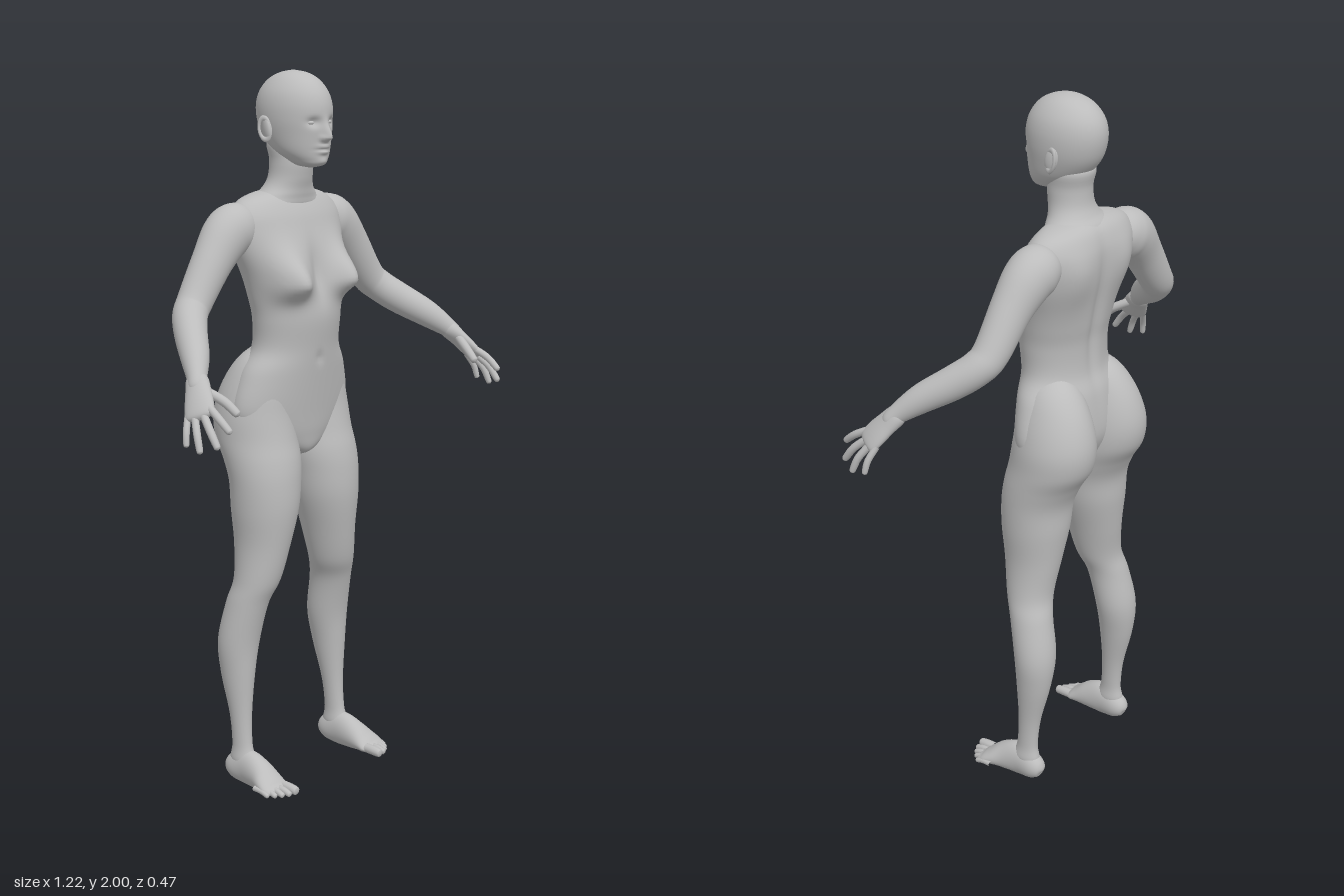
import * as THREE from 'three';

const skin = new THREE.MeshStandardMaterial({ color: 0xbcbcbc });
skin.name = 'plain grey';

// Catmull-Rom interpolation of every column of a table of cross-sections
function sampleRows(rows, s) {
  const n = rows.length - 1;
  const i = Math.min(Math.max(Math.floor(s), 0), n - 1);
  const t = s - i;
  const at = k => rows[Math.min(Math.max(k, 0), n)];
  return rows[0].map((_, c) => {
    const p0 = at(i - 1)[c], p1 = at(i)[c], p2 = at(i + 1)[c], p3 = at(i + 2)[c];
    return 0.5 * (2 * p1 + (p2 - p0) * t + (2 * p0 - 5 * p1 + 4 * p2 - p3) * t * t
      + (3 * p1 - p0 - 3 * p2 + p3) * t * t * t);
  });
}

// Smooth closed skin over cross-sections; ring(s) returns a function angle -> point
function loft(count, ring, segs, steps, deform) {
  const pos = [], index = [], total = (count - 1) * steps;
  for (let i = 0; i <= total; i++) {
    const point = ring(i / steps);
    for (let j = 0; j < segs; j++) {
      const v = point(j / segs * Math.PI * 2);
      if (deform) deform(v);
      pos.push(v.x, v.y, v.z);
      if (i === total) continue;
      const a = i * segs + j, b = i * segs + (j + 1) % segs;
      index.push(a, b, a + segs, b, b + segs, a + segs);
    }
  }
  const g = new THREE.BufferGeometry();
  g.setAttribute('position', new THREE.Float32BufferAttribute(pos, 3));
  g.setIndex(index);
  g.computeVertexNormals();
  return g;
}

// Level sections from top to bottom: [y, centre x, half width, front z, back z]
function levels(rows, segs, steps, deform) {
  return loft(rows.length, s => {
    const [y, cx, a, f, b] = sampleRows(rows, s);
    const w = Math.max(a, 0);
    return t => new THREE.Vector3(cx + w * Math.cos(t), y, (f + b) / 2 + (f - b) / 2 * Math.sin(t));
  }, segs, steps, deform);
}

// Sections across a path: [x, y, z, radius along ref, radius across it]
function limb(rows, ref, segs, steps, deform) {
  return loft(rows.length, s => {
    const r = sampleRows(rows, s);
    const p = new THREE.Vector3(...r);
    const e0 = sampleRows(rows, Math.max(s - 0.05, 0));
    const e1 = sampleRows(rows, Math.min(s + 0.05, rows.length - 1));
    const T = new THREE.Vector3(...e1).sub(new THREE.Vector3(...e0)).normalize();
    const U = ref.clone().addScaledVector(T, -ref.dot(T)).normalize();
    const V = T.clone().cross(U);
    const [ru, rv] = [Math.max(r[3], 0), Math.max(r[4], 0)];
    return t => p.clone().addScaledVector(U, ru * Math.cos(t)).addScaledVector(V, rv * Math.sin(t));
  }, segs, steps, deform);
}

// Rounded finger or toe through three points
function digit(a, b, c, r, deform) {
  const lerp = (p, q, t) => p.map((v, i) => v + (q[i] - v) * t);
  const rows = [[...a, r, r], [...b, r, r], [...lerp(b, c, 0.8), r * 0.88, r * 0.88],
    [...lerp(b, c, 0.95), r * 0.55, r * 0.55], [...c, 0, 0]];
  return limb(rows, new THREE.Vector3(1, 0.3, 0), 12, 4, deform);
}

// Soft swelling or hollow on both sides of the middle
function bump(v, x, y, sx, up, down, dz) {
  const dx = (Math.abs(v.x) - x) / sx, dy = (v.y - y) / (v.y > y ? up : down);
  v.z += dz * Math.exp(-dx * dx - dy * dy);
}

function mirrored(g) {
  const m = g.clone().scale(-1, 1, 1), ix = m.index.array;
  for (let i = 0; i < ix.length; i += 3) [ix[i], ix[i + 1]] = [ix[i + 1], ix[i]];
  m.computeVertexNormals();
  return m;
}

export function createModel() {
  const group = new THREE.Group();
  const add = (name, g) => {
    const m = new THREE.Mesh(g, skin);
    m.name = name;
    group.add(m);
  };
  const pair = (name, g) => {
    add('left' + name, g);
    add('right' + name, mirrored(g));
  };

  // Head with brow, nose, lips and chin
  add('head', levels([
    [2.0, 0, 0, -0.066, -0.068], [1.993, 0, 0.032, -0.025, -0.105], [1.975, 0, 0.058, 0.012, -0.142],
    [1.945, 0, 0.079, 0.038, -0.168], [1.91, 0, 0.089, 0.051, -0.179], [1.87, 0, 0.09, 0.053, -0.176],
    [1.83, 0, 0.084, 0.05, -0.16], [1.79, 0, 0.073, 0.046, -0.125], [1.765, 0, 0.056, 0.043, -0.085],
    [1.748, 0, 0.036, 0.034, -0.05], [1.74, 0, 0, 0, -0.01]], 112, 8, v => {
    if (v.z < -0.03) return;
    bump(v, 0.034, 1.865, 0.017, 0.011, 0.013, -0.012);
    bump(v, 0, 1.822, 0.011, 0.032, 0.008, 0.026);
    bump(v, 0.012, 1.82, 0.007, 0.008, 0.006, 0.008);
    bump(v, 0, 1.798, 0.02, 0.006, 0.005, 0.008);
    bump(v, 0, 1.784, 0.017, 0.005, 0.006, 0.008);
    bump(v, 0, 1.791, 0.024, 0.003, 0.003, -0.004);
    bump(v, 0, 1.758, 0.02, 0.01, 0.01, 0.005);
  }));
  pair('Eye', new THREE.SphereGeometry(1, 20, 14).scale(0.014, 0.007, 0.012).translate(0.034, 1.863, 0.025));

  // Ears: a shell with a raised rim
  pair('Ear', new THREE.SphereGeometry(1, 20, 16).scale(0.009, 0.033, 0.018)
    .rotateY(0.3).rotateX(-0.2).translate(0.088, 1.845, -0.083));
  pair('EarRim', new THREE.TorusGeometry(0.017, 0.0045, 8, 24).scale(1, 1.7, 1)
    .rotateY(Math.PI / 2 - 0.3).rotateX(-0.2).translate(0.094, 1.845, -0.085));

  add('neck', levels([
    [1.83, 0, 0, -0.08, -0.09], [1.81, 0, 0.058, -0.03, -0.142], [1.76, 0, 0.06, -0.014, -0.136],
    [1.715, 0, 0.064, -0.019, -0.138], [1.685, 0, 0.078, -0.026, -0.15], [1.66, 0, 0.105, -0.03, -0.168],
    [1.63, 0, 0.13, -0.04, -0.17], [1.62, 0, 0, -0.1, -0.11]], 40, 5));

  // Torso with chest, shoulder blades, spine and belly
  add('torso', levels([
    [1.683, 0, 0, -0.1, -0.11], [1.675, 0, 0.09, -0.06, -0.15], [1.655, 0, 0.16, -0.04, -0.175],
    [1.62, 0, 0.198, -0.02, -0.189], [1.58, 0, 0.205, -0.005, -0.193], [1.52, 0, 0.192, 0.015, -0.189],
    [1.45, 0, 0.168, 0.03, -0.177], [1.39, 0, 0.154, 0.04, -0.167], [1.33, 0, 0.145, 0.045, -0.157],
    [1.25, 0, 0.146, 0.036, -0.158], [1.18, 0, 0.186, 0.028, -0.177], [1.07, 0, 0.212, 0.014, -0.185],
    [1.0, 0, 0.15, 0.005, -0.16], [0.95, 0, 0.05, -0.01, -0.13], [0.93, 0, 0, -0.06, -0.08]], 96, 6, v => {
    if (v.z > -0.07) {
      const front = Math.min((v.z + 0.07) / 0.05, 1);
      bump(v, 0.105, 1.433, 0.052, 0.075, 0.042, 0.07 * front);
      bump(v, 0, 1.45, 0.025, 0.08, 0.06, -0.015 * front);
      bump(v, 0, 1.22, 0.012, 0.015, 0.015, -0.006 * front);
    } else {
      const back = Math.min((-0.07 - v.z) / 0.05, 1);
      bump(v, 0.1, 1.55, 0.06, 0.07, 0.09, -0.016 * back);
      bump(v, 0, 1.4, 0.02, 0.2, 0.18, 0.012 * back);
    }
  }));

  // Legs, from the buttocks down to the ankles
  pair('Leg', levels([
    [1.27, 0.09, 0, -0.08, -0.1], [1.22, 0.095, 0.062, -0.03, -0.165], [1.15, 0.105, 0.09, -0.005, -0.211],
    [1.07, 0.112, 0.106, 0.003, -0.234], [1.0, 0.114, 0.109, 0.015, -0.226], [0.94, 0.117, 0.108, 0.029, -0.19],
    [0.88, 0.122, 0.102, 0.036, -0.165], [0.8, 0.127, 0.094, 0.036, -0.158], [0.7, 0.138, 0.076, 0.022, -0.144],
    [0.6, 0.156, 0.066, 0.003, -0.132], [0.53, 0.176, 0.06, -0.023, -0.146], [0.42, 0.188, 0.061, -0.048, -0.166],
    [0.32, 0.194, 0.047, -0.056, -0.157], [0.2, 0.197, 0.03, -0.06, -0.128], [0.11, 0.199, 0.025, -0.054, -0.119],
    [0.06, 0.2, 0.028, -0.04, -0.125], [0.035, 0.2, 0, -0.08, -0.09]], 56, 6));

  // Feet with flat soles
  const sole = v => { v.y = Math.max(v.y, 0); };
  pair('Foot', limb([
    [0.2, 0.03, -0.14, 0, 0], [0.2, 0.032, -0.135, 0.02, 0.022], [0.2, 0.038, -0.11, 0.032, 0.04],
    [0.2, 0.045, -0.06, 0.034, 0.052], [0.203, 0.036, -0.01, 0.039, 0.043], [0.209, 0.024, 0.03, 0.046, 0.026],
    [0.211, 0.016, 0.052, 0.046, 0.017], [0.211, 0.013, 0.068, 0.034, 0.01], [0.211, 0.012, 0.072, 0, 0]],
  new THREE.Vector3(1, 0, 0), 36, 6, sole));
  [[0.182, 0.111, 0.014], [0.205, 0.107, 0.0095], [0.223, 0.097, 0.009], [0.239, 0.084, 0.0085],
    [0.253, 0.067, 0.008]].forEach(([x, z, r], i) =>
    pair('Toe' + (i + 1), digit([x, 0.018, z - 0.055], [x, 0.017, z - 0.028], [x, r, z], r, sole)));

  // Arms, from inside the shoulder to the wrist
  pair('Arm', limb([
    [0.12, 1.6, -0.115, 0, 0], [0.145, 1.595, -0.115, 0.05, 0.05], [0.185, 1.583, -0.113, 0.07, 0.066],
    [0.225, 1.56, -0.111, 0.069, 0.064], [0.28, 1.5, -0.106, 0.058, 0.054], [0.35, 1.405, -0.1, 0.049, 0.048],
    [0.385, 1.37, -0.084, 0.046, 0.047], [0.425, 1.332, -0.04, 0.045, 0.044], [0.475, 1.287, 0.025, 0.039, 0.038],
    [0.515, 1.246, 0.072, 0.028, 0.027], [0.535, 1.22, 0.095, 0.02, 0.022], [0.54, 1.21, 0.1, 0, 0]],
  new THREE.Vector3(0, 1, 0), 40, 6));

  // Hands with spread fingers
  pair('Palm', limb([
    [0.508, 1.252, 0.062, 0, 0], [0.516, 1.243, 0.073, 0.027, 0.024], [0.538, 1.212, 0.1, 0.036, 0.021],
    [0.56, 1.178, 0.126, 0.041, 0.017], [0.57, 1.16, 0.139, 0.036, 0.012], [0.573, 1.154, 0.143, 0, 0]],
  new THREE.Vector3(0.35, -0.3, -0.6), 28, 5));
  pair('Thumb', digit([0.523, 1.218, 0.11], [0.502, 1.192, 0.157], [0.491, 1.16, 0.198], 0.0125));
  pair('IndexFinger', digit([0.55, 1.185, 0.15], [0.558, 1.162, 0.193], [0.557, 1.13, 0.234], 0.0105));
  pair('MiddleFinger', digit([0.562, 1.17, 0.14], [0.578, 1.135, 0.18], [0.583, 1.09, 0.215], 0.0105));
  pair('RingFinger', digit([0.573, 1.162, 0.122], [0.593, 1.122, 0.15], [0.602, 1.075, 0.17], 0.01));
  pair('LittleFinger', digit([0.575, 1.162, 0.1], [0.595, 1.125, 0.114], [0.604, 1.085, 0.122], 0.009));

  return group;
}
